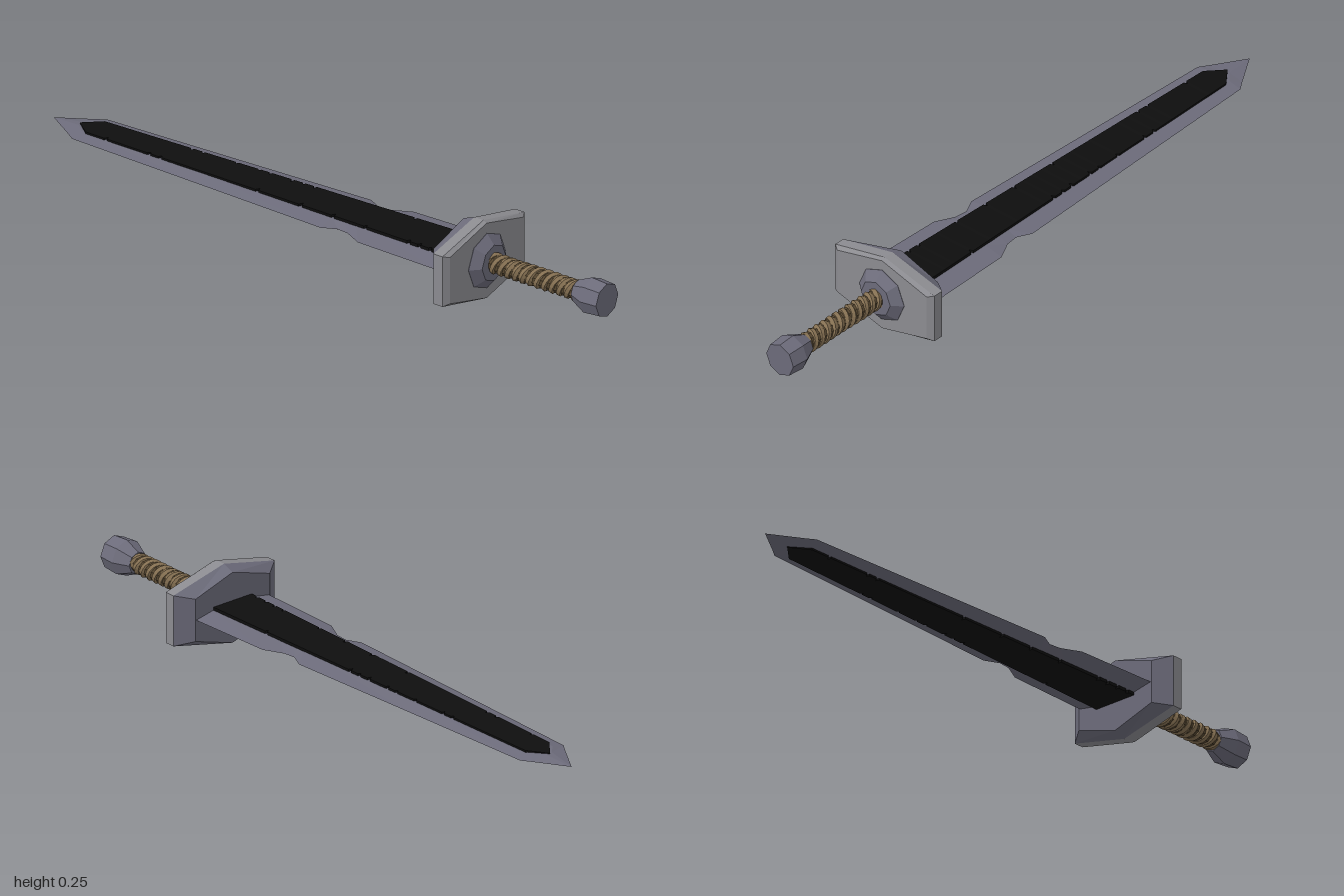
import * as THREE from 'three';

const CY = 0.127; // height of the sword's long axis

const mat = (name, color) => {
  const m = new THREE.MeshStandardMaterial({ color, flatShading: true });
  m.name = name;
  return m;
};

// Closed faceted solid through rings of [x, y, z], each counter-clockwise from the front, ordered front to back
function loft(rings) {
  const pos = [];
  const tri = (a, b, c) => pos.push(...a, ...b, ...c);
  const n = rings[0].length;
  for (let i = 0; i < rings.length - 1; i++) {
    for (let j = 0; j < n; j++) {
      const k = (j + 1) % n;
      const a = rings[i][j], b = rings[i][k], c = rings[i + 1][k], d = rings[i + 1][j];
      tri(a, d, b);
      tri(b, d, c);
    }
  }
  const first = rings[0], last = rings[rings.length - 1];
  for (let j = 1; j < n - 1; j++) {
    tri(first[0], first[j], first[j + 1]);
    tri(last[0], last[j + 1], last[j]);
  }
  const g = new THREE.BufferGeometry();
  g.setAttribute('position', new THREE.Float32BufferAttribute(pos, 3));
  g.computeVertexNormals();
  return g;
}

const octagon = (r, z) => Array.from({ length: 8 }, (_, i) => {
  const a = i * Math.PI / 4;
  return [r * Math.cos(a), r * Math.sin(a), z];
});

// Hexagon with upright sides and peaked top and bottom
const hexagon = (s, h, peak, z) =>
  [[s, -h, z], [s, h, z], [0, peak, z], [-s, h, z], [-s, -h, z], [0, -peak, z]];

// Helical cord around the grip
class Helix extends THREE.Curve {
  constructor(phase) { super(); this.phase = phase; }
  getPoint(t, target = new THREE.Vector3()) {
    const a = this.phase + t * Math.PI * 2 * 6;
    return target.set(0.021 * Math.cos(a), 0.021 * Math.sin(a), 0.9 - 0.32 * t);
  }
}

export function createModel() {
  const root = new THREE.Group();
  root.name = 'sword';
  const sword = new THREE.Group();
  sword.name = 'swordBody';
  sword.position.y = CY;
  root.add(sword);

  const steel = mat('blue grey steel', 0x6c6b7a);
  const guardGrey = mat('guard grey', 0x8b8b90);
  const black = mat('black core', 0x0e0e0e);
  const leather = mat('tan leather', 0x857052);
  const darkLeather = mat('dark leather', 0x54452f);

  const add = (name, geometry, material) => {
    const m = new THREE.Mesh(geometry, material);
    m.name = name;
    sword.add(m);
    return m;
  };

  // Blade: [z, half width, flat half width, half thickness], notched near the guard
  const blade = [
    [0.5, 0.138, 0.07, 0.013], [0.2, 0.13, 0.064, 0.012], [0.14, 0.1, 0.063, 0.012],
    [0.1, 0.096, 0.062, 0.012], [0.055, 0.118, 0.061, 0.012], [-0.4, 0.1, 0.053, 0.011],
    [-0.87, 0.082, 0.04, 0.009], [-0.9, 0.062, 0.012, 0.009], [-1, 0, 0, 0],
  ];
  add('bladeEdge', loft(blade.map(([z, w, p, t]) =>
    [[w, 0, z], [p, t, z], [-p, t, z], [-w, 0, z], [-p, -t, z], [p, -t, z]])), steel);

  // Raised black core with small chips along both borders
  let seed = 7;
  const rand = () => (seed = (seed * 16807) % 2147483647) / 2147483647;
  const core = [];
  const coreRing = (z, l, r, t) => core.push([[l, -t, z], [l, t, z], [-r, t, z], [-r, -t, z]]);
  const steps = 34;
  for (let i = 0; i <= steps; i++) {
    const f = i / steps, z = 0.5 - 1.35 * f;
    const w = 0.073 - 0.028 * f, t = 0.022 - 0.008 * f;
    coreRing(z, w, w, t);
    if (i > 0 && i < steps && rand() < 0.6) {
      const left = rand() < 0.5, depth = 0.006 + 0.008 * rand();
      coreRing(z - 0.004, w - (left ? depth : 0), w - (left ? 0 : depth), t);
      coreRing(z - 0.011, w, w, t);
    }
  }
  coreRing(-0.905, 0.001, 0.001, 0.011);
  add('bladeCore', loft(core), black);

  // Cross guard: pale front half, steel bevelled back half
  add('guardFront', loft([
    hexagon(0.172, 0.073, 0.118, 0.565), hexagon(0.191, 0.079, 0.124, 0.553),
    hexagon(0.191, 0.079, 0.124, 0.52)]), guardGrey);
  add('guardBack', loft([
    hexagon(0.191, 0.079, 0.124, 0.52), hexagon(0.14, 0.066, 0.11, 0.482)]), steel);

  // Collar and pommel
  add('collar', loft([octagon(0.056, 0.592), octagon(0.086, 0.566), octagon(0.086, 0.55)]), steel);
  add('pommel', loft([
    octagon(0.052, 1), octagon(0.056, 0.945), octagon(0.034, 0.895)]), steel);

  // Grip core with two wound cords
  const grip = new THREE.CylinderGeometry(0.027, 0.027, 0.33, 10);
  grip.rotateX(Math.PI / 2);
  add('gripCore', grip, darkLeather).position.z = 0.745;
  for (let i = 0; i < 2; i++) {
    add('gripWrap', new THREE.TubeGeometry(new Helix(i * Math.PI), 96, 0.0115, 6), leather);
  }
  return root;
}
